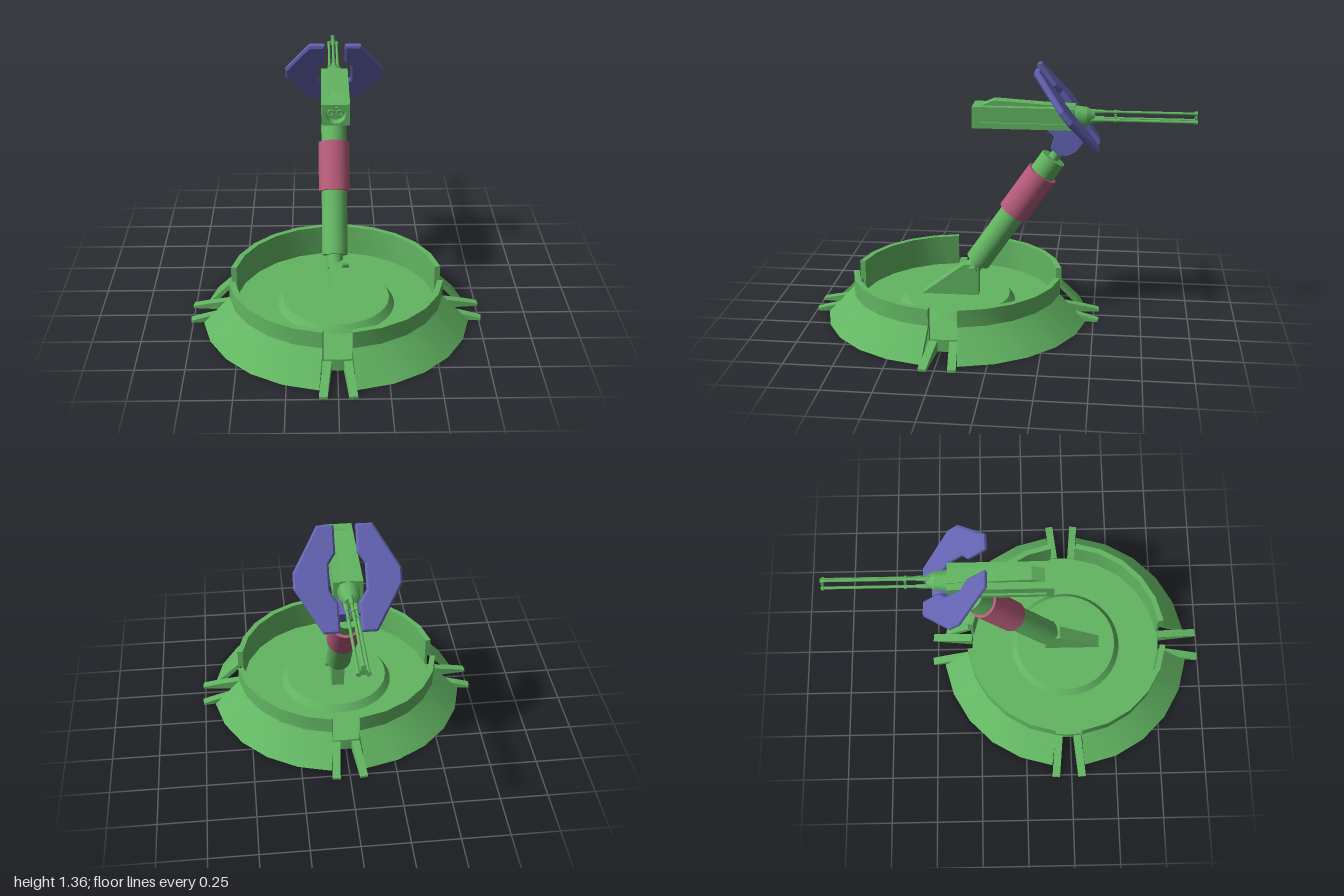
import * as THREE from 'three';
import { toCreasedNormals } from 'three/addons/utils/BufferGeometryUtils.js';

const paint = (color, side = THREE.FrontSide) => {
  const m = new THREE.MeshStandardMaterial({ side });
  m.color.set(color);
  return m;
};
const green = paint(0x62b562);
const greenTwoSided = paint(0x62b562, THREE.DoubleSide);
const blue = paint(0x6464b4);
const pink = paint(0xb45a78);

const toShape = (pts) => new THREE.Shape(pts.map(([x, y]) => new THREE.Vector2(x, y)));

function add(parent, name, geometry, material, x = 0, y = 0, z = 0) {
  const mesh = new THREE.Mesh(geometry, material);
  mesh.name = name;
  mesh.position.set(x, y, z);
  parent.add(mesh);
  return mesh;
}

// Side profile of [z, y] points, extruded to a width centred on x = 0
function sideProfile(shape, width) {
  const g = new THREE.ExtrudeGeometry(shape, { depth: width, bevelEnabled: false });
  return g.translate(0, 0, -width / 2).rotateY(-Math.PI / 2);
}

// Cylinder lying along z between two z positions
function alongZ(r0, r1, z0, z1, sides) {
  return new THREE.CylinderGeometry(r1, r0, Math.abs(z1 - z0), sides)
    .rotateX(-Math.PI / 2).translate(0, 0, (z0 + z1) / 2);
}

function createBase() {
  const base = new THREE.Group();
  base.name = 'base';
  add(base, 'floor', new THREE.CylinderGeometry(0.535, 0.535, 0.065, 48), green, 0, 0.0325);
  add(base, 'turntable', new THREE.CylinderGeometry(0.28, 0.31, 0.04, 48), green, 0, 0.083);

  // Wall with a hollow flared skirt, in four arcs with gaps between
  const section = [[0.53, 0.235], [0.53, 0], [0.545, 0], [0.545, 0.13], [0.665, 0],
    [0.7, 0], [0.56, 0.145], [0.56, 0.235]];
  const ring = [...section, section[0]].map(([r, y]) => new THREE.Vector2(r, y));
  const step = Math.PI / 12;
  const prong = [[0.54, 0], [0.765, 0], [0.765, 0.012], [0.69, 0.03], [0.54, 0.06]];
  for (let i = 0; i < 4; i++) {
    const quarter = new THREE.Group();
    quarter.name = 'baseQuarter';
    quarter.rotation.y = i * Math.PI / 2;
    base.add(quarter);
    const arc = new THREE.LatheGeometry(ring, 5, step / 2, 5 * step);
    add(quarter, 'wallAndSkirt', toCreasedNormals(arc, 0.5), greenTwoSided);
    for (const phi of [step / 2, 5.5 * step]) {
      const cap = new THREE.ShapeGeometry(toShape(section)).rotateY(phi - Math.PI / 2);
      add(quarter, 'wallEnd', cap, greenTwoSided);
    }
    // Pair of ground claws in the gap
    for (const s of [-1, 1]) {
      const claw = add(quarter, 'groundClaw', sideProfile(toShape(prong), 0.042), green, s * -0.02);
      claw.rotation.y = s * 0.095;
      claw.position.x = s * -0.022 + s * 0.0;
    }
  }
  // Splay the claws outward from the gap centre
  base.traverse((o) => {
    if (o.name === 'groundClaw') {
      o.position.x = Math.sign(o.rotation.y) * -0.022;
      if (o.rotation.y > 0) o.position.x = -0.022 + 0.022;
      else o.position.x = 0;
    }
  });
  base.position.z = 0.235;
  return base;
}

function createArm() {
  const arm = new THREE.Group();
  arm.name = 'arm';
  // Local y runs along the leaning axis, with its origin at the sleeve's lower end
  arm.position.set(-0.004, 0.57, -0.065);
  arm.rotation.x = -Math.atan2(0.563, 0.826);
  const tube = (name, r, from, to, mat, sides = 32) =>
    add(arm, name, new THREE.CylinderGeometry(r, r, to - from, sides), mat, 0, (from + to) / 2);
  tube('armNeck', 0.042, -0.41, -0.33, green);
  tube('armTube', 0.068, -0.34, 0.367, green);
  tube('armSleeve', 0.083, 0, 0.266, pink);
  tube('armRod', 0.028, 0.36, 0.46, green, 20);
  return arm;
}

function createShield() {
  const shield = new THREE.Group();
  shield.name = 'shield';
  // Two mirrored plates leaning forward at the top
  const lean = 0.663;
  const outline = [[0.05, 0.94], [0.13, 0.94], [0.262, 1.115], [0.262, 1.175], [0.135, 1.35],
    [0.052, 1.35], [0.052, 1.24], [0.087, 1.2], [0.087, 1.1], [0.05, 1.05]];
  for (const s of [-1, 1]) {
    const pts = outline.map(([x, y]) => [s * x, (y - 0.94) / Math.cos(lean)]);
    const g = new THREE.ExtrudeGeometry(toShape(pts), {
      depth: 0.012, bevelThickness: 0.01, bevelSize: 0.01, bevelOffset: -0.01, bevelSegments: 1,
    });
    const plate = add(shield, 'shieldPlate', g, blue, 0, 0.945, -0.508);
    plate.rotation.x = lean;
  }
  return shield;
}

function createGun() {
  const gun = new THREE.Group();
  gun.name = 'gun';
  const cy = 1.1;
  const rear = 0.145, nose = -0.38, len = rear - nose;

  // Housing with a round opening at its end
  const block = toShape([[-0.062, 1.04], [0.062, 1.04], [0.062, 1.152], [-0.062, 1.152]]);
  block.holes.push(new THREE.Path().absarc(0, cy, 0.05, 0, Math.PI * 2, true));
  const core = new THREE.ExtrudeGeometry(block, { depth: len, bevelEnabled: false, curveSegments: 24 });
  add(gun, 'housing', toCreasedNormals(core, 0.5), green, 0, 0, nose);
  add(gun, 'housingPlug', alongZ(0.051, 0.051, 0.09, nose, 32), green, 0, cy);

  // Side frames around a long recess
  const frame = toShape([[nose, 1.04], [rear, 1.04], [rear, 1.152], [nose, 1.152]]);
  frame.holes.push(new THREE.Path([[-0.345, 1.07], [-0.345, 1.118], [0.108, 1.118], [0.108, 1.07]]
    .map(([z, y]) => new THREE.Vector2(z, y))));
  for (const s of [-1, 1]) add(gun, 'sideFrame', sideProfile(frame, 0.01), green, s * 0.067);

  // Sloped ridge on top
  const ridge = toShape([[nose, 1.14], [0.1, 1.14], [0.1, 1.152], [0.035, 1.18], [nose, 1.155]]);
  add(gun, 'topRidge', sideProfile(ridge, 0.072), green);

  // Nose collar and triple barrels
  add(gun, 'noseCollar', alongZ(0.056, 0.05, nose, -0.44, 8), green, 0, cy);
  add(gun, 'noseCone', alongZ(0.05, 0.03, -0.44, -0.48, 8), green, 0, cy);
  for (let i = 0; i < 3; i++) {
    const a = Math.PI / 2 + i * Math.PI * 2 / 3;
    const x = 0.026 * Math.cos(a), y = cy + 0.026 * Math.sin(a);
    add(gun, 'barrel', alongZ(0.0075, 0.0075, -0.4, -0.998, 12), green, x, y);
    add(gun, 'barrelRoot', alongZ(0.014, 0.01, -0.44, -0.53, 12), green, x, y);
    add(gun, 'breechTube', new THREE.TorusGeometry(0.014, 0.005, 8, 20), green, x, y, 0.092);
    for (const z of [-0.585, -0.991]) {
      add(gun, 'barrelRing', alongZ(0.012, 0.012, z + 0.007, z - 0.007, 12), green, x, y);
    }
  }
  for (const z of [-0.585, -0.991]) {
    const spacer = new THREE.CylinderGeometry(0.03, 0.03, 0.012, 3).rotateX(-Math.PI / 2);
    // Turn one corner of the triangle upward
    add(gun, 'barrelSpacer', spacer, green, 0, cy, z);
  }
  return gun;
}

export function createModel() {
  const model = new THREE.Group();
  model.name = 'gunTurret';
  model.add(createBase(), createArm(), createShield(), createGun());

  // Wedge foot that carries the arm, with its pivot pin
  const foot = toShape([[0.43, 0.1], [0.12, 0.1], [0.12, 0.275], [0.2, 0.275]]);
  add(model, 'armFoot', sideProfile(foot, 0.07), green);
  const pin = new THREE.CylinderGeometry(0.022, 0.022, 0.105, 16).rotateZ(Math.PI / 2);
  add(model, 'pivotPin', pin, green, 0.018, 0.25, 0.15);

  // Cradle joining the arm to the gun
  const cradle = toShape([[-0.22, 1.05], [-0.28, 1.0], [-0.26, 0.94], [-0.295, 0.905], [-0.345, 0.9],
    [-0.39, 0.925], [-0.46, 1.02], [-0.42, 1.06]]);
  add(model, 'gunCradle', sideProfile(cradle, 0.105), blue);
  return model;
}
